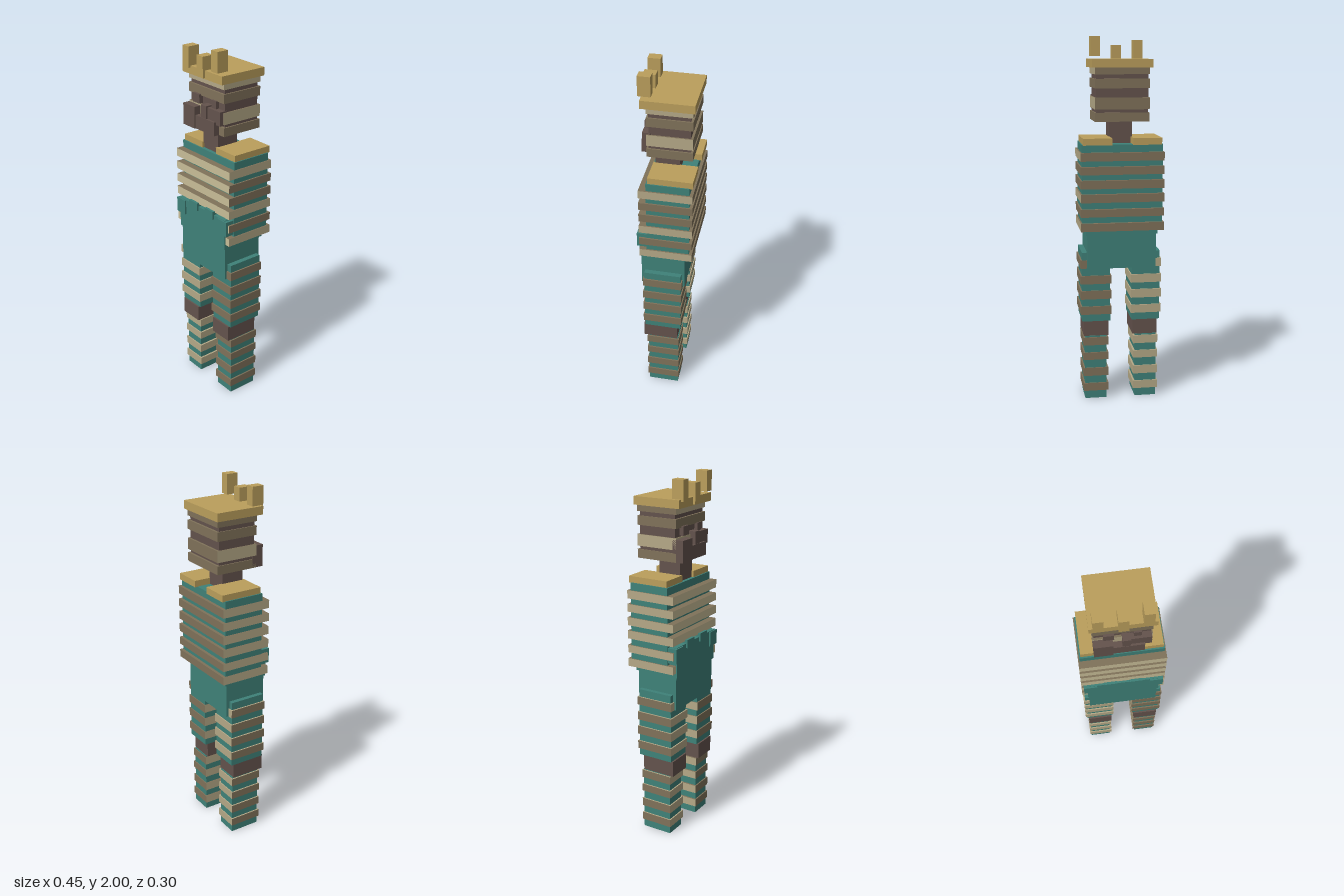
import * as THREE from 'three';

const material = (name, color) => {
  const m = new THREE.MeshStandardMaterial({ color });
  m.name = name;
  return m;
};
const teal = material('teal cloth', 0x3f8279);
const gold = material('gold', 0xbb9f5c);
const skin = material('dark brown skin', 0x64534d);
const cream = material('cream wrap', 0xc9be98);
const tan = material('tan wrap', 0xb5a987);
const brown = material('brown wrap', 0x80725a);

// Box from its limits on each axis; mat may be a list in the order +x -x +y -y +z -z
function box(parent, name, [x0, x1], [y0, y1], [z0, z1], mat) {
  const mesh = new THREE.Mesh(new THREE.BoxGeometry(x1 - x0, y1 - y0, z1 - z0), mat);
  mesh.position.set((x0 + x1) / 2, (y0 + y1) / 2, (z0 + z1) / 2);
  mesh.name = name;
  parent.add(mesh);
}

// Row of wrap bands; matFor gives the materials of each band
function bands(parent, name, xs, ys, zs, matFor) {
  ys.forEach((y, i) => box(parent, name + (i + 1), xs, y, zs, matFor(i)));
}

function group(parent, name) {
  const g = new THREE.Group();
  g.name = name;
  parent.add(g);
  return g;
}

export function createModel() {
  const model = new THREE.Group();
  model.name = 'wrappedFigure';

  // Legs: thigh, knee and shin, with wraps of a different colour on each side
  for (const s of [-1, 1]) {
    const leg = group(model, s > 0 ? 'leftLeg' : 'rightLeg');
    const span = (a, b) => (s > 0 ? [a, b] : [-b, -a]);
    const main = s > 0 ? brown : tan;
    const other = s > 0 ? tan : brown;
    const wrap = () => [main, other, main, main, main, main];
    box(leg, 'thigh', span(0.06, 0.215), [0.455, 0.845], [-0.09, 0.113], teal);
    bands(leg, 'thighWrap', span(0.054, 0.223),
      [[0.757, 0.803], [0.668, 0.715], [0.582, 0.63], [0.495, 0.541]], [-0.096, 0.12], wrap);
    box(leg, 'knee', span(0.068, 0.205), [0.365, 0.455], [-0.07, 0.122], skin);
    box(leg, 'shin', span(0.08, 0.2), [0, 0.365], [-0.075, 0.097], teal);
    bands(leg, 'shinWrap', span(0.07, 0.208),
      [[0.312, 0.358], [0.227, 0.27], [0.133, 0.18], [0.045, 0.09]], [-0.081, 0.104], wrap);
  }

  // Hips and waist cloth
  box(model, 'hips', [-0.19, 0.187], [0.757, 0.947], [-0.107, 0.132], teal);
  box(model, 'waist', [-0.196, 0.195], [0.945, 1.115], [-0.118, 0.14], teal);
  for (const s of [-1, 1]) {
    const span = (a, b) => (s > 0 ? [a, b] : [-b, -a]);
    box(model, 'outerBeltTab', span(0.142, 0.214), [1.03, 1.112], [0.09, 0.148], teal);
    box(model, 'innerBeltTab', span(0.032, 0.104), [1.09, 1.135], [0.09, 0.148], teal);
  }

  // Torso with six wraps
  const torso = group(model, 'torso');
  box(torso, 'chest', [-0.219, 0.216], [0.985, 1.436], [-0.133, 0.095], teal);
  bands(torso, 'torsoWrap', [-0.226, 0.224],
    [[1.35, 1.395], [1.277, 1.32], [1.202, 1.247], [1.128, 1.173], [1.05, 1.092], [0.972, 1.016]],
    [-0.15, 0.134],
    (i) => [[0, 3, 5].includes(i) ? tan : brown, tan, brown, brown, cream, brown]);
  box(torso, 'rightShoulderPlate', [-0.212, -0.058], [1.434, 1.47], [-0.148, 0.087], gold);
  box(torso, 'leftShoulderPlate', [0.055, 0.21], [1.434, 1.47], [-0.148, 0.087], gold);

  // Neck and head
  const head = group(model, 'head');
  box(head, 'neck', [-0.064, 0.06], [1.42, 1.565], [-0.053, 0.075], skin);
  box(head, 'skull', [-0.14, 0.136], [1.56, 1.838], [-0.122, 0.092], skin);
  bands(head, 'headWrap', [-0.146, 0.144],
    [[1.802, 1.837], [1.73, 1.779], [1.62, 1.682], [1.556, 1.603]], [-0.134, 0.103],
    (i) => {
      const m = i % 2 ? brown : tan;
      return [m, i === 2 ? tan : brown, brown, brown, m, brown];
    });

  // Face blocks
  box(head, 'rightCheek', [-0.146, -0.05], [1.557, 1.674], [0.08, 0.143], skin);
  box(head, 'leftCheek', [0.03, 0.138], [1.615, 1.69], [0.08, 0.125], skin);
  box(head, 'jaw', [-0.05, 0.104], [1.557, 1.63], [0.08, 0.136], skin);
  box(head, 'nose', [-0.005, 0.036], [1.62, 1.698], [0.08, 0.134], skin);
  box(head, 'rightBrow', [-0.095, -0.043], [1.688, 1.737], [0.08, 0.116], skin);
  box(head, 'leftBrow', [0.052, 0.09], [1.692, 1.733], [0.08, 0.112], skin);

  // Crown plate and three uneven prongs
  const crown = group(model, 'crown');
  box(crown, 'crownPlate', [-0.162, 0.16], [1.836, 1.88], [-0.145, 0.13], gold);
  [[-0.118, 1.87, 1.98], [-0.001, 1.842, 1.952], [0.116, 1.893, 2]].forEach(([x, y0, y1]) =>
    box(crown, 'crownProng', [x - 0.025, x + 0.025], [y0, y1], [0.077, 0.143], gold));

  return model;
}
